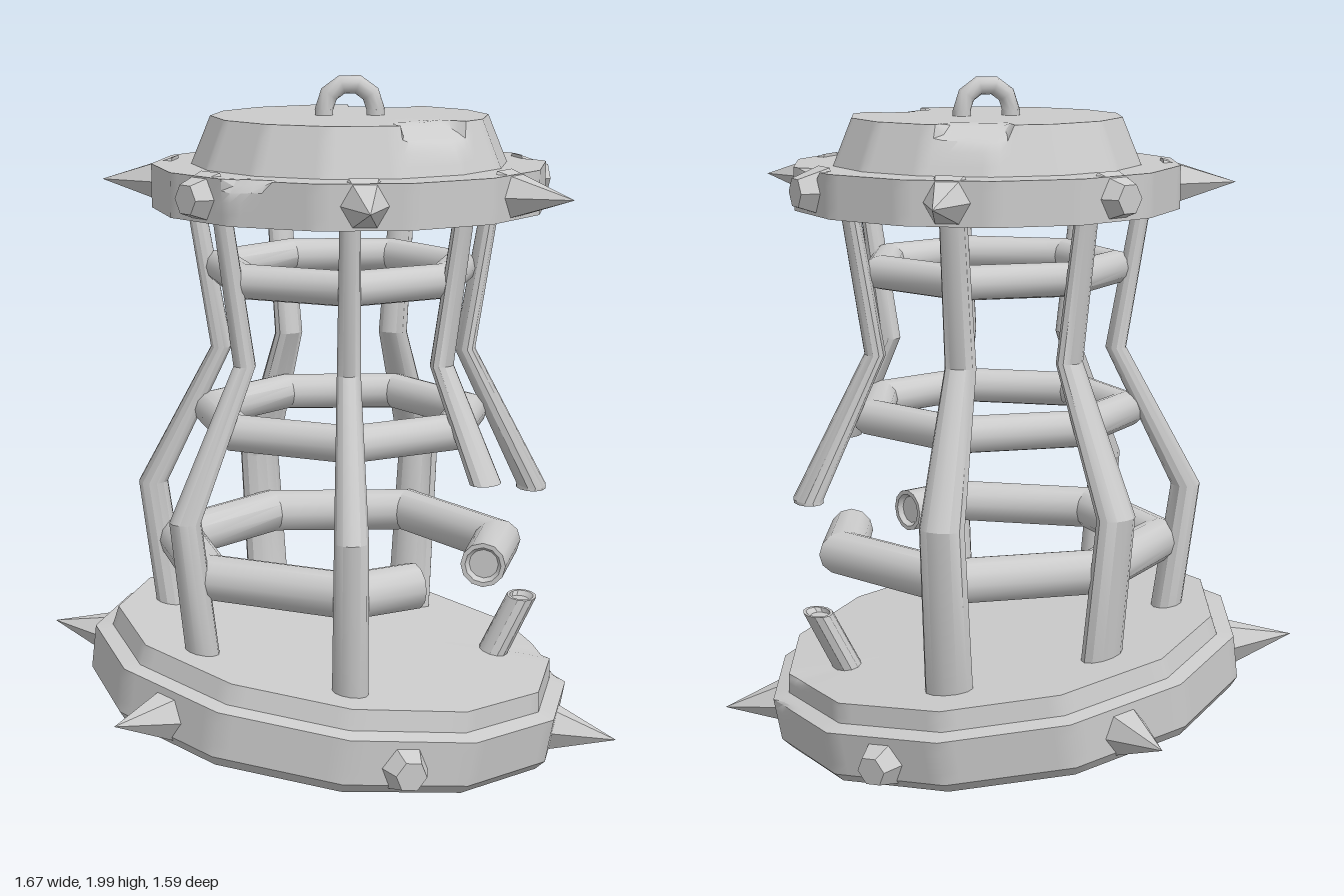
import * as THREE from 'three';
import { toCreasedNormals } from 'three/addons/utils/BufferGeometryUtils.js';

const TAU = Math.PI * 2;
const V = (x, y, z) => new THREE.Vector3(x, y, z);
const steel = new THREE.MeshStandardMaterial({ color: 0xcccccc });
const facetedSteel = new THREE.MeshStandardMaterial({ color: 0xcccccc, flatShading: true });

function add(parent, name, geometry, material = steel) {
  const mesh = new THREE.Mesh(geometry, material);
  mesh.name = name;
  parent.add(mesh);
  return mesh;
}

// Skin a grid of points: rows follow each other, points run within a row
function skin(rows) {
  const pos = [];
  const tri = (a, b, c) => {
    const n = b.clone().sub(a).cross(c.clone().sub(a));
    if (n.lengthSq() > 1e-16) for (const p of [a, b, c]) pos.push(p.x, p.y, p.z);
  };
  for (let i = 0; i < rows.length - 1; i++) {
    for (let j = 0; j < rows[i].length - 1; j++) {
      const a = rows[i][j], b = rows[i][j + 1], c = rows[i + 1][j], d = rows[i + 1][j + 1];
      tri(a, b, c);
      tri(c, b, d);
    }
  }
  const g = new THREE.BufferGeometry();
  g.setAttribute('position', new THREE.Float32BufferAttribute(pos, 3));
  return toCreasedNormals(g, 0.55);
}

// Rod through stations {c: centre, u, v: cross-section axes}, with dished ends
function rod(stations, closed = false) {
  const ring = ({ c, u, v }, k = 1) => Array.from({ length: 13 }, (_, j) => {
    const a = (j % 12) / 12 * TAU;
    return c.clone().addScaledVector(u, k * Math.cos(a)).addScaledVector(v, k * Math.sin(a));
  });
  const rows = stations.map((s) => ring(s));
  if (closed) return skin([...rows, rows[0]]);
  const dish = (s, next) => {
    const inner = { ...s, c: s.c.clone().add(next.c.clone().sub(s.c).setLength(0.015)) };
    return [ring(inner, 0), ring(inner, 0.65), ring(s, 0.8)];
  };
  const n = stations.length;
  return skin([...dish(stations[0], stations[1]), ...rows,
    ...dish(stations[n - 1], stations[n - 2]).reverse()]);
}

// Polygonal disc from a [radius, y] profile; each chip shaves the rim to a plane
function chippedDisc(profile, sides, chips) {
  const fine = [];
  profile.forEach(([r, y], k) => {
    if (k === 0) return fine.push([r, y]);
    const [r0, y0] = profile[k - 1];
    for (let t = 1; t <= 4; t++) fine.push([r0 + (r - r0) * t / 4, y0 + (y - y0) * t / 4]);
  });
  const segs = sides * 8, rows = [];
  for (let i = 0; i <= segs; i++) {
    const a = (i % segs) / segs * TAU;
    const k = Math.cos(Math.PI / sides) / Math.cos((a % (TAU / sides)) - Math.PI / sides);
    rows.push(fine.map(([r, y]) => {
      const p = V(r * k * Math.cos(a), y, r * k * Math.sin(a));
      for (const { angle, half, r: cr, y: cy, tilt, depth } of chips) {
        const off = Math.atan2(Math.sin(a - angle), Math.cos(a - angle));
        if (Math.abs(off) > half) continue;
        const n = V(Math.cos(angle) * Math.cos(tilt), Math.sin(tilt), Math.sin(angle) * Math.cos(tilt));
        const d = n.dot(p) - (cr * Math.cos(tilt) + cy * Math.sin(tilt) - depth);
        if (d > 0) p.addScaledVector(n, -d);
      }
      return p;
    }));
  }
  return skin(rows);
}

// Ring of six-sided spikes, some of them broken off short
function spikes(parent, name, count, start, radius, y, broken) {
  for (let k = 0; k < count; k++) {
    const blunt = broken.includes(k), len = blunt ? 0.09 : 0.22;
    const g = new THREE.CylinderGeometry(blunt ? 0.045 : 0, 0.08, len, 6);
    g.rotateZ(-Math.PI / 2).translate(radius + len / 2, y, 0).rotateY(-(start + k / count * TAU));
    add(parent, blunt ? name + 'Broken' : name, g, facetedSteel);
  }
}

// Uprights: angle in degrees, distance scale, hoop scale, sideways width, snapped height
const BARS = [
  { deg: 92, scale: 1, hoop: 1, wide: 1.08 },
  { deg: 43, scale: 0.96, hoop: 0.97, wide: 1.3, snap: 0.88 },
  { deg: -3, scale: 0.97, hoop: 0.92, wide: 1.4, snap: 0.77 },
  { deg: -60.5, scale: 0.94, hoop: 0.91, wide: 1.5 },
  { deg: -116, scale: 0.92, hoop: 0.91, wide: 1.45 },
  { deg: -166, scale: 1, hoop: 1, wide: 1.15 },
  { deg: 143.5, scale: 1, hoop: 1, wide: 1.1 },
];
const COUNT = BARS.length;
const angleOf = (b) => THREE.MathUtils.degToRad(b.deg);
const radial = (a) => V(Math.cos(a), 0, Math.sin(a));
const at = (a, r, y) => radial(a).multiplyScalar(r).add(V(0.04, y, 0.04));

// Bar silhouette: height, distance from the axis, thickness
const BAR = [[1.64, 0.445, 0.027], [1.2, 0.37, 0.031], [0.78, 0.585, 0.044], [0.2, 0.505, 0.048]];
function barAt(y) {
  let i = 0;
  while (i < BAR.length - 2 && y < BAR[i + 1][0]) i++;
  const t = (BAR[i][0] - y) / (BAR[i][0] - BAR[i + 1][0]);
  return [1, 2].map((k) => BAR[i][k] + (BAR[i + 1][k] - BAR[i][k]) * t);
}
function barStation(b, r, y, thick) {
  const a = angleOf(b);
  return {
    c: at(a, r, y),
    u: radial(a).multiplyScalar(thick),
    v: V(-Math.sin(a), 0, Math.cos(a)).multiplyScalar(thick * b.wide),
  };
}
function bar(b, top, bottom) {
  const ys = [top, ...BAR.map((p) => p[0]).filter((y) => y < top && y > bottom), bottom];
  return rod(ys.map((y) => {
    const [r, thick] = barAt(y);
    return barStation(b, r * b.scale, y, thick);
  }));
}

// Hoop corner just inside a bar, mitred; corners run the opposite way to the bars
function corner(k, r, y, thick) {
  const b = BARS[(COUNT - k) % COUNT], a = angleOf(b);
  return {
    c: at(a, r * b.hoop, y),
    u: radial(a).multiplyScalar(thick / Math.cos(Math.PI / COUNT)),
    v: V(0, thick, 0),
  };
}
const hoopCorners = (r, y, thick) => Array.from({ length: COUNT }, (_, k) => corner(k, r, y, thick));

// Square-cut end part way from one corner to the next; sign is the running direction
function cutEnd(from, to, t, thick, sign) {
  const dir = to.c.clone().sub(from.c).normalize().multiplyScalar(sign);
  return {
    c: from.c.clone().lerp(to.c, t),
    u: V(0, 1, 0).cross(dir).multiplyScalar(thick),
    v: V(0, thick, 0),
  };
}

export function createModel() {
  const model = new THREE.Group();
  model.name = 'brokenCage';

  // Tilted base with a stepped rim
  const base = new THREE.Group();
  base.name = 'base';
  base.position.set(-0.016, 0.106, 0.04);
  base.rotation.z = -0.147;
  model.add(base);
  add(base, 'basePlate', chippedDisc(
    [[0, 0], [0.69, 0], [0.715, 0.03], [0.72, 0.16], [0.67, 0.17], [0.66, 0.228], [0, 0.228]], 12,
    [{ angle: -0.13, half: 0.07, r: 0.72, y: 0.16, tilt: 0.7, depth: 0.02 }]));
  spikes(base, 'baseSpike', 6, 0.28, 0.66, 0.08, [1, 5]);

  // Lid: rim band and tapered cap, both chipped
  const lid = new THREE.Group();
  lid.name = 'lid';
  lid.position.set(0.055, 0, 0.04);
  model.add(lid);
  add(lid, 'lidBand', chippedDisc([[0, 1.625], [0.57, 1.625], [0.57, 1.75], [0.44, 1.75], [0, 1.75]], 14, [
    { angle: 2.16, half: 0.12, r: 0.57, y: 1.75, tilt: 0.7, depth: 0.03 },
    { angle: -0.2, half: 0.1, r: 0.57, y: 1.75, tilt: 0.7, depth: 0.03 },
  ]));
  add(lid, 'lidCap', chippedDisc([[0, 1.74], [0.46, 1.74], [0.4, 1.886], [0.28, 1.886], [0, 1.886]], 14, [
    { angle: 0.98, half: 0.28, r: 0.4, y: 1.886, tilt: 1.1, depth: 0.045 },
    { angle: -1.25, half: 0.25, r: 0.4, y: 1.886, tilt: 1.1, depth: 0.04 },
  ]));
  spikes(lid, 'lidSpike', 7, Math.PI / 2, 0.515, 1.69, [1, 3, 5]);

  // Hanging loop
  add(lid, 'hangingLoop', new THREE.TorusGeometry(0.074, 0.027, 10, 5, Math.PI)).position.y = 1.902;
  for (const s of [-1, 1]) {
    add(lid, 'hangingLoopLeg', new THREE.CylinderGeometry(0.027, 0.027, 0.04, 10)).position.set(s * 0.074, 1.882, 0);
  }

  // Bent upright bars, two snapped on the left side
  const cage = new THREE.Group();
  cage.name = 'cage';
  model.add(cage);
  for (const b of BARS) {
    const floor = 0.3 - 0.148 * at(angleOf(b), 0.52, 0).x;
    add(cage, b.snap ? 'snappedBar' : 'bar', bar(b, 1.64, b.snap ?? floor));
  }
  add(cage, 'barStub', rod([
    barStation(BARS[2], 0.545, 0.43, 0.044), barStation(BARS[2], 0.43, 0.2, 0.046),
  ]));

  // Two whole hoops and a broken lower one
  add(cage, 'upperHoop', rod(hoopCorners(0.365, 1.44, 0.05), true));
  add(cage, 'middleHoop', rod(hoopCorners(0.4, 1.01, 0.054), true));
  const low = hoopCorners(0.505, 0.605, 0.066);
  add(cage, 'lowerHoopBroken', rod([
    cutEnd(low[0], low[6], 0.5, 0.066, -1), ...low.slice(0, 6), cutEnd(low[5], low[6], 0.72, 0.066, 1),
  ]));
  return model;
}
